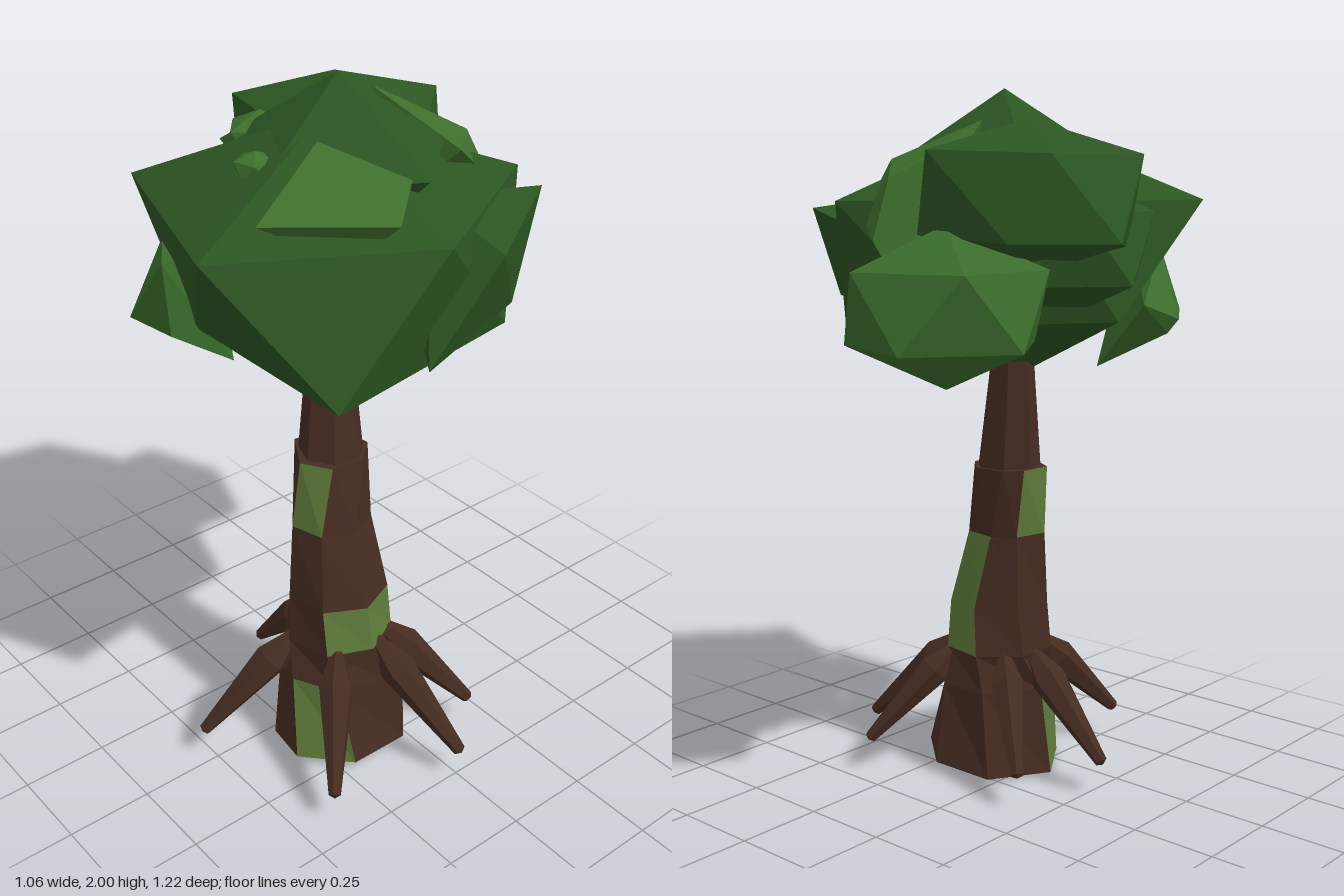
import * as THREE from 'three';
import { ConvexGeometry } from 'three/addons/geometries/ConvexGeometry.js';

const mat = (name, color) => {
  const m = new THREE.MeshStandardMaterial({ color, flatShading: true });
  m.name = name;
  return m;
};
const rad = THREE.MathUtils.degToRad;

export function createModel() {
  const bark = mat('bark brown', 0x452c21);
  const moss = mat('moss green', 0x5f7c3a);
  const leafDark = mat('dark leaf green', 0x2c5522);
  const leafMid = mat('mid leaf green', 0x3a6c2c);
  const leafLight = mat('light leaf green', 0x3f702d);

  const tree = new THREE.Group();
  tree.name = 'tree';
  const add = (name, geometry, material, parent = tree) => {
    const mesh = new THREE.Mesh(geometry, material);
    mesh.name = name;
    parent.add(mesh);
    return mesh;
  };

  const SIDES = 7;
  // Ring of a trunk section: height, centre x, centre z, radius, turn, skew of the right-hand corners
  const ring = ([y, cx, cz, r, turn, skew = 0]) => Array.from({ length: SIDES }, (_, k) => {
    const a = rad(turn + (k * 360) / SIDES + (k === 2 || k === 3 ? skew : 0));
    return new THREE.Vector3(cx + r * Math.cos(a), y, cz + r * Math.sin(a));
  });
  const fromTriangles = (points) => {
    const g = new THREE.BufferGeometry().setFromPoints(points);
    g.computeVertexNormals();
    return g;
  };
  // Skin the rings; sides listed in mossy (row-column) go to the moss surface
  const skin = (rings, mossy = []) => {
    const plain = [], green = [];
    for (let i = 0; i < rings.length - 1; i++) {
      for (let k = 0; k < SIDES; k++) {
        const n = (k + 1) % SIDES;
        const [a, b, c, d] = [rings[i][k], rings[i + 1][k], rings[i + 1][n], rings[i][n]];
        (mossy.includes(`${i}-${k}`) ? green : plain).push(a, b, c, a, c, d);
      }
    }
    const lo = rings[0], hi = rings[rings.length - 1];
    for (let k = 1; k < SIDES - 1; k++) {
      plain.push(lo[0], lo[k], lo[k + 1], hi[0], hi[k + 1], hi[k]);
    }
    return { plain: fromTriangles(plain), green: fromTriangles(green) };
  };

  // Lower trunk with moss patches and a slanted foot
  const lower = [
    [0, 0.13, 0.13, 0.205, 28, -10],
    [0.27, 0.115, 0.13, 0.172, 38, -12],
    [0.38, 0.105, 0.128, 0.158, 49],
    [0.52, 0.1, 0.125, 0.147, 54],
    [0.74, 0.065, 0.122, 0.118, 49, 14],
    [0.94, 0.04, 0.1, 0.112, 34, 20],
  ].map(ring);
  lower[0].forEach((p) => { p.y = Math.max(0, 0.1 * (p.x + 0.06) + 0.03 * (0.33 - p.z)); });
  const trunk = skin(lower, ['0-0', '0-2', '2-4', '2-5', '2-6', '3-4', '4-0', '4-2']);
  add('lowerTrunk', trunk.plain, bark);
  add('mossPatches', trunk.green, moss);

  // Upper trunk
  const upper = [
    [0.92, 0.042, 0.095, 0.095, 32],
    [1.2, 0.014, 0.075, 0.068, 32],
    [1.35, 0.01, 0.07, 0.06, 32],
  ].map(ring);
  add('upperTrunk', skin(upper).plain, bark);

  // Roots: spindles reaching from the trunk down to their tips (x, z)
  const roots = new THREE.Group();
  roots.name = 'roots';
  tree.add(roots);
  const tips = [[0.52, 0.0], [0.43, 0.4], [-0.03, 0.53], [-0.29, 0.13], [-0.17, -0.11], [0.36, -0.18]];
  for (const [x, z] of tips) {
    const a = Math.atan2(z - 0.145, x - 0.11);
    const start = new THREE.Vector3(0.108 + 0.09 * Math.cos(a), 0.42, 0.13 + 0.09 * Math.sin(a));
    const dir = new THREE.Vector3(x, 0.095, z).sub(start);
    const len = dir.length();
    const profile = [[0, 0], [0.052, 0.34], [0.018, 0.98], [0, 1]]
      .map(([r, t]) => new THREE.Vector2(r, t * len));
    const root = add('root', new THREE.LatheGeometry(profile, 6), bark, roots);
    root.position.copy(start);
    root.quaternion.setFromUnitVectors(new THREE.Vector3(0, 1, 0), dir.normalize());
  }

  const crown = new THREE.Group();
  crown.name = 'crown';
  tree.add(crown);

  // Regular leaf clumps: flattened icosahedra standing on one corner
  const clump = (name, material, x, y, z, r, h, turn) => {
    const pts = [new THREE.Vector3(x, y + h, z), new THREE.Vector3(x, y - h, z)];
    for (let k = 0; k < 10; k++) {
      const a = rad(turn + k * 36);
      const dy = (k % 2 ? -0.47 : 0.47) * h;
      pts.push(new THREE.Vector3(x + r * Math.cos(a), y + dy, z + r * Math.sin(a)));
    }
    add(name, new ConvexGeometry(pts), material, crown);
  };
  clump('rightSideClump', leafDark, -0.22, 1.58, 0, 0.25, 0.2, 146);
  clump('lowBackClump', leafMid, -0.14, 1.435, -0.36, 0.265, 0.21, 217);
  clump('rightTuft', leafLight, -0.19, 1.79, 0.14, 0.09, 0.08, 20);
  clump('frontTuft', leafLight, 0.01, 1.81, 0.3, 0.055, 0.04, 40);

  // Irregular leaf clumps, given by their corners
  const shard = (name, material, corners) =>
    add(name, new ConvexGeometry(corners.map((c) => new THREE.Vector3(...c))), material, crown);
  shard('mainClump', leafDark, [
    [0.05, 1.92, 0.12], [0.2, 1.7, 0.61], [-0.4, 1.7, 0.41], [-0.32, 1.7, -0.2],
    [0.2, 1.7, -0.42], [0.5, 1.7, 0.09], [0.455, 1.34, 0.4], [-0.1, 1.37, 0.43],
    [-0.36, 1.38, 0.08], [-0.1, 1.38, -0.3], [0.36, 1.35, -0.24], [0.05, 1.19, 0.12],
  ]);
  shard('topClump', leafDark, [
    [0.01, 2, 0.04], [0.36, 1.81, 0.04], [0.1, 1.79, 0.36], [-0.26, 1.79, 0.22],
    [-0.2, 1.8, -0.12], [0.17, 1.82, -0.18], [0.02, 1.5, 0.04],
  ]);
  shard('leftSideClump', leafDark, [
    [0.525, 1.65, -0.06], [0.31, 1.68, -0.4], [0.495, 1.39, 0.15], [0.4, 1.43, -0.22],
    [0.1, 1.5, -0.1], [0.25, 1.72, -0.05],
  ]);
  shard('backRightClump', leafDark, [
    [-0.23, 1.91, -0.14], [-0.14, 1.83, -0.43], [-0.41, 1.82, -0.27], [-0.47, 1.82, 0.03],
    [-0.05, 1.76, 0.05], [0.05, 1.76, -0.2], [-0.53, 1.6, -0.14], [-0.33, 1.6, -0.34],
    [-0.08, 1.62, -0.4], [-0.4, 1.58, 0.06], [-0.23, 1.5, -0.14],
  ]);
  shard('lowFrontClump', leafMid, [
    [-0.43, 1.38, 0.26], [-0.24, 1.38, 0.54], [-0.06, 1.39, 0.53], [-0.05, 1.6, 0.55],
    [-0.25, 1.57, 0.42], [-0.37, 1.42, 0.18], [-0.4, 1.34, 0.25], [-0.12, 1.22, 0.3],
  ]);
  shard('frontShoulderClump', leafLight, [
    [0.14, 1.89, 0.21], [0.45, 1.77, 0.21], [0.24, 1.77, 0.47], [0.34, 1.82, 0.08],
    [0.1, 1.7, 0.24], [0.25, 1.6, 0.2],
  ]);
  shard('backShoulderClump', leafLight, [
    [-0.06, 1.91, -0.13], [0.24, 1.81, -0.17], [-0.1, 1.87, -0.21], [0.03, 1.76, -0.39],
    [0.16, 1.66, -0.36], [0.05, 1.6, -0.43], [0.0, 1.47, -0.38], [0.05, 1.6, -0.1],
  ]);

  return tree;
}
